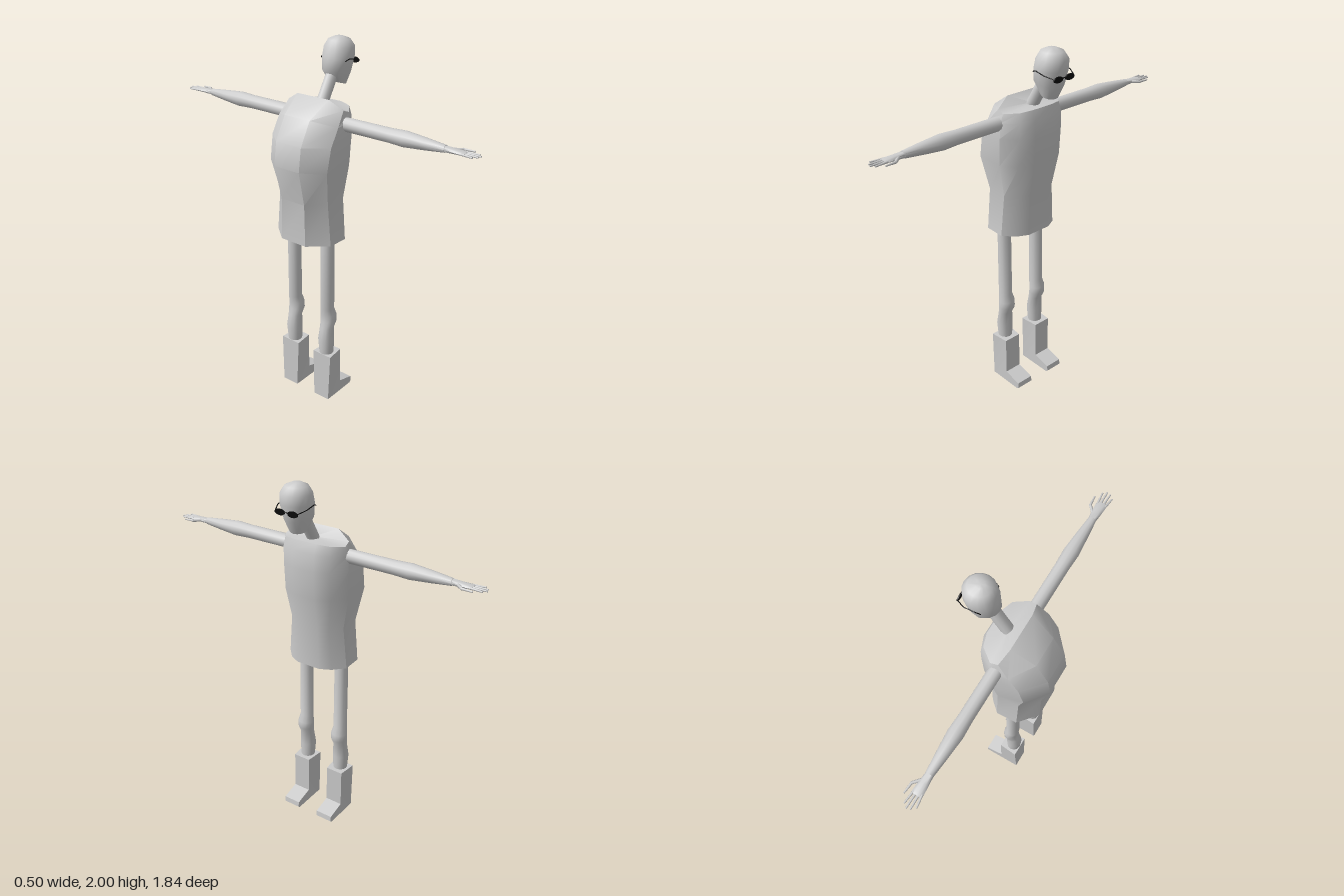
import * as THREE from 'three';
import { toCreasedNormals } from 'three/addons/utils/BufferGeometryUtils.js';

const V = (x, y, z) => new THREE.Vector3(x, y, z);

// Closed, capped skin over rings of points running counterclockwise seen from above
function loft(rings, crease = 0.6) {
  const n = rings[0].length, pos = [];
  const tri = (...pts) => pts.forEach(p => pos.push(p.x, p.y, p.z));
  const middle = r => r.reduce((s, p) => s.add(p), V(0, 0, 0)).divideScalar(n);
  const low = rings[0], high = rings[rings.length - 1];
  const lowMid = middle(low), highMid = middle(high);
  for (let j = 0; j < n; j++) {
    const k = (j + 1) % n;
    for (let i = 0; i + 1 < rings.length; i++) {
      const a = rings[i], b = rings[i + 1];
      tri(a[j], a[k], b[k]);
      tri(a[j], b[k], b[j]);
    }
    tri(lowMid, low[k], low[j]);
    tri(highMid, high[j], high[k]);
  }
  const g = new THREE.BufferGeometry();
  g.setAttribute('position', new THREE.Float32BufferAttribute(pos, 3));
  return toCreasedNormals(g, crease);
}

// Elliptic ring; tilt lowers its front edge
function ring(y, cx, rx, rz, tilt = 0, n = 12) {
  return Array.from({ length: n }, (_, i) => {
    const a = (i / n) * Math.PI * 2, c = Math.cos(a);
    return V(cx + rx * c, y - tilt * c, -rz * Math.sin(a));
  });
}

export function createModel() {
  const model = new THREE.Group();
  const grey = new THREE.MeshStandardMaterial({ color: 0xcccccc });
  const black = new THREE.MeshStandardMaterial({ color: 0x0a0a0a });

  const add = (name, geometry, parent = model, material = grey) => {
    const m = new THREE.Mesh(geometry, material);
    m.name = name;
    parent.add(m);
    return m;
  };
  const group = (name, parent = model) => {
    const g = new THREE.Group();
    g.name = name;
    parent.add(g);
    return g;
  };
  // Tapered rod between two points
  const rod = (name, a, b, r1, r2, parent, material = grey, sides = 8) => {
    const d = b.clone().sub(a);
    const m = add(name, new THREE.CylinderGeometry(r2, r1, d.length(), sides), parent, material);
    m.position.copy(a).add(b).multiplyScalar(0.5);
    m.quaternion.setFromUnitVectors(V(0, 1, 0), d.normalize());
    return m;
  };

  // Hunched coat: half sections from chest to back as [x, y, z], mirrored in z
  const halves = [
    [[0.08, 0.99, 0.07], [0.05, 0.99, 0.13], [-0.01, 0.99, 0.185], [-0.125, 0.99, 0.18], [-0.21, 0.99, 0.08]],
    [[0.08, 1.22, 0.06], [0.055, 1.22, 0.115], [-0.005, 1.22, 0.165], [-0.125, 1.22, 0.16], [-0.21, 1.22, 0.075]],
    [[0.115, 1.4, 0.065], [0.08, 1.4, 0.14], [0, 1.4, 0.195], [-0.165, 1.4, 0.185], [-0.255, 1.41, 0.08]],
    [[0.122, 1.55, 0.065], [0.09, 1.55, 0.14], [0.01, 1.55, 0.2], [-0.14, 1.53, 0.19], [-0.237, 1.535, 0.08]],
    [[0.118, 1.64, 0.065], [0.09, 1.635, 0.14], [0.01, 1.63, 0.195], [-0.085, 1.62, 0.19], [-0.17, 1.655, 0.08]],
    [[0.1, 1.69, 0.065], [0.08, 1.685, 0.13], [0.015, 1.675, 0.18], [-0.025, 1.69, 0.175], [-0.045, 1.735, 0.1]],
  ];
  add('coat', loft(halves.map(h => [
    ...h.map(([x, y, z]) => V(x, y, -z)),
    ...h.slice().reverse().map(([x, y, z]) => V(x, y, z)),
  ]), 0.7));

  // Head and leaning neck
  rod('neck', V(0.005, 1.65, 0), V(0.12, 1.84, 0), 0.032, 0.031, model, grey, 12);
  add('head', loft([
    ring(1.767, 0.15, 0.04, 0.048, 0.012, 16),
    ring(1.83, 0.145, 0.08, 0.07, 0.008, 16),
    ring(1.9, 0.158, 0.084, 0.083, 0, 16),
    ring(1.95, 0.165, 0.08, 0.079, 0, 16),
    ring(1.985, 0.163, 0.058, 0.057, 0, 16),
    ring(2.0, 0.16, 0.022, 0.022, 0, 16),
  ], 0.9));

  // Dark glasses
  const glasses = group('glasses');
  for (const s of [1, -1]) {
    const lens = add('lens', new THREE.CylinderGeometry(0.015, 0.015, 0.006, 20), glasses, black);
    lens.rotation.z = Math.PI / 2;
    lens.scale.z = 1.95;
    lens.position.set(0.245, 1.871, s * 0.037);
    const arm = [V(0.115, 1.89, s * 0.077), V(0.14, 1.9, s * 0.085), V(0.2, 1.888, s * 0.084), V(0.244, 1.876, s * 0.064)];
    for (let i = 0; i < 3; i++) rod('temple', arm[i], arm[i + 1], 0.0025, 0.0025, glasses, black, 6);
  }
  rod('bridge', V(0.245, 1.874, -0.01), V(0.245, 1.874, 0.01), 0.003, 0.003, glasses, black, 6);

  for (const s of [1, -1]) {
    const side = s > 0 ? 'left' : 'right';

    // Outstretched arm, built upright and turned sideways
    const arm = group(side + 'Arm');
    arm.position.set(-0.015, 1.62, 0);
    arm.rotation.x = s * Math.PI / 2;
    add('sleeve', loft([[0.15, 0.036, 0.036], [0.44, 0.036, 0.036], [0.53, 0.04, 0.04],
      [0.64, 0.031, 0.03], [0.745, 0.021, 0.018]].map(([y, rx, rz]) => ring(y, 0, rx, rz))), arm);
    add('palm', loft([[0.74, 0.02, 0.016], [0.79, 0.025, 0.012], [0.835, 0.028, 0.009],
      [0.85, 0.026, 0.006]].map(([y, rx, rz]) => ring(y, 0, rx, rz)), 0.9), arm);
    [[-0.021, -0.031, 0.897], [-0.008, -0.011, 0.915], [0.007, 0.008, 0.92], [0.02, 0.027, 0.905]]
      .forEach(([x0, x1, y]) => rod('finger', V(x0, 0.835, 0), V(x1, y, 0), 0.0065, 0.004, arm));
    rod('thumbBase', V(0.012, 0.775, 0), V(0.049, 0.815, 0), 0.009, 0.007, arm);
    rod('thumbTip', V(0.047, 0.81, 0), V(0.052, 0.868, 0), 0.007, 0.004, arm);

    // Leg with knee and calf bulges
    const leg = group(side + 'Leg');
    leg.position.z = s * 0.115;
    add('leg', loft([
      ring(0.2, -0.072, 0.036, 0.036), ring(0.285, -0.073, 0.04, 0.04),
      ring(0.37, -0.076, 0.044, 0.046), ring(0.45, -0.069, 0.038, 0.039),
      ring(0.49, -0.055, 0.043, 0.046), ring(0.53, -0.055, 0.041, 0.046),
      ring(0.57, -0.066, 0.037, 0.038), ring(1.02, -0.068, 0.037, 0.037),
    ], 0.9), leg);

    // Boot, narrower at the sole and toe than at the back of the cuff
    const outline = [[-0.12, 0], [0.085, 0], [0.097, 0.01], [0.093, 0.04], [-0.008, 0.068], [-0.01, 0.288], [-0.115, 0.288]];
    const boot = new THREE.ExtrudeGeometry(
      new THREE.Shape(outline.map(p => new THREE.Vector2(...p))), { depth: 2, bevelEnabled: false });
    boot.translate(0, 0, -1);
    const p = boot.attributes.position;
    for (let i = 0; i < p.count; i++) {
      const cuff = p.getY(i) > 0.2 && p.getX(i) < -0.05;
      p.setZ(i, p.getZ(i) * (cuff ? 0.06 : 0.05));
    }
    add('boot', toCreasedNormals(boot, 0.4), leg);
  }
  return model;
}
